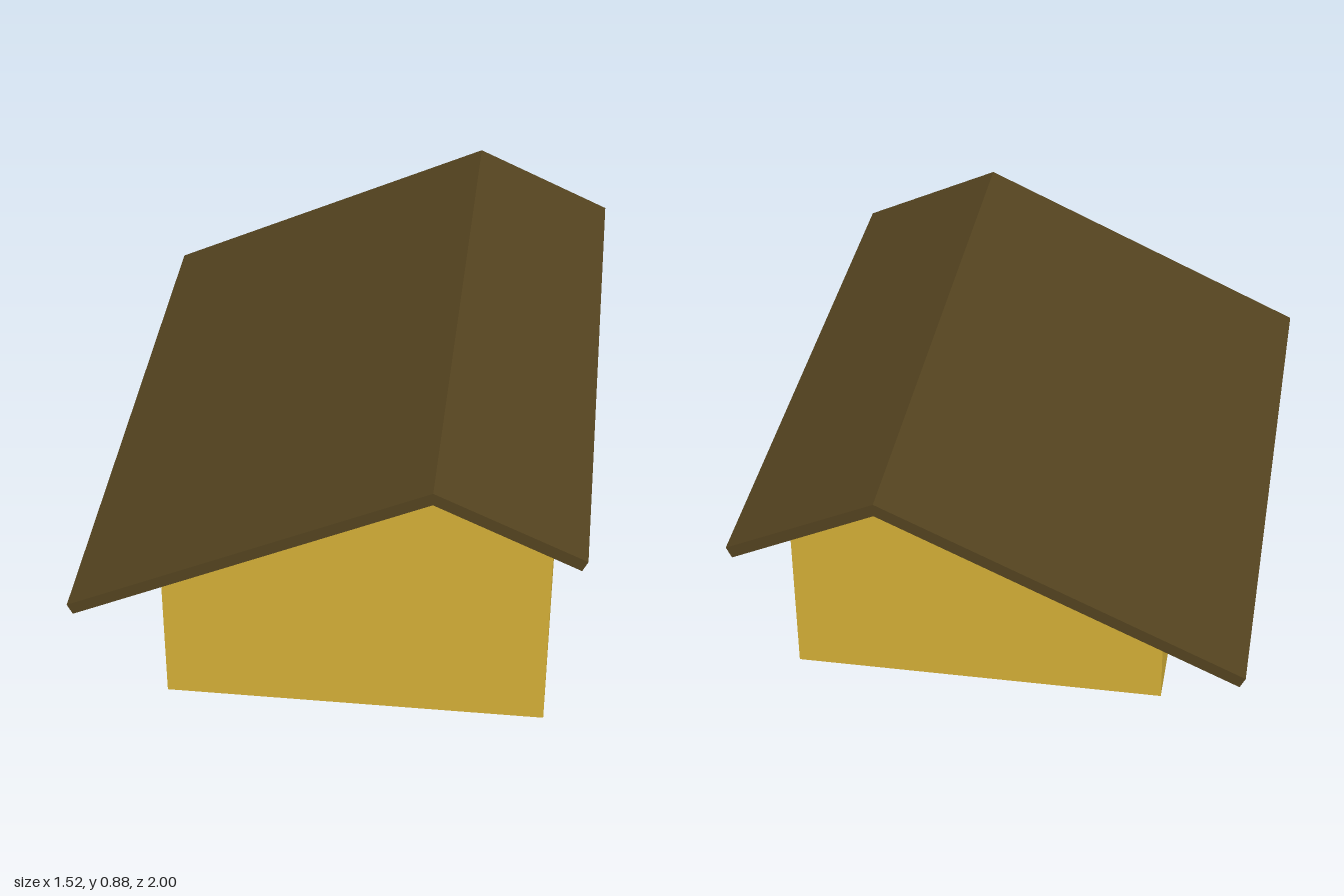
import * as THREE from 'three';

const X0 = -0.49, X1 = 0.66;          // side walls
const ZF = 0.92, ZB = -0.68;          // gable walls
const RIDGE = 0.317, PITCH = 0.463;   // ridge position and roof slope
const underside = (x) => 0.84 - Math.abs(x - RIDGE) * PITCH;

const paint = (color) =>
  new THREE.MeshStandardMaterial({ color, flatShading: true, side: THREE.DoubleSide });

function add(parent, name, geometry, material) {
  const mesh = new THREE.Mesh(geometry, material);
  mesh.name = name;
  parent.add(mesh);
  return mesh;
}

const polygon = (points) => new THREE.Shape(points.map(([x, y]) => new THREE.Vector2(x, y)));

export function createModel() {
  const model = new THREE.Group();
  model.name = 'house';
  const wallPaint = paint(0xd4af37);

  // Gable walls, front and back
  const gable = polygon([
    [X0, 0], [X1, 0], [X1, underside(X1)], [RIDGE, underside(RIDGE)], [X0, underside(X0)],
  ]);
  const front = add(model, 'frontGable', new THREE.ShapeGeometry(gable), wallPaint);
  front.position.z = ZF;
  const backGeometry = new THREE.ShapeGeometry(gable);
  backGeometry.index.array.reverse();   // face backwards
  backGeometry.computeVertexNormals();
  const back = add(model, 'backGable', backGeometry, wallPaint);
  back.position.z = ZB;

  // Side walls, up to the underside of the roof
  for (const [name, x, turn] of [['leftWall', X1, 1], ['rightWall', X0, -1]]) {
    const height = underside(x);
    const wall = add(model, name, new THREE.PlaneGeometry(ZF - ZB, height), wallPaint);
    wall.rotation.y = turn * Math.PI / 2;
    wall.position.set(x, height / 2, (ZF + ZB) / 2);
  }

  // Floor, facing down and rising slightly towards the low side
  const rise = 0.03, span = X1 - X0;
  const floorGeometry = new THREE.PlaneGeometry(Math.hypot(span, rise), ZF - ZB);
  floorGeometry.rotateX(Math.PI / 2);
  const floor = add(model, 'floor', floorGeometry, paint(0x222222));
  floor.rotation.z = -Math.atan2(rise, span);
  floor.position.set((X0 + X1) / 2, rise / 2, (ZF + ZB) / 2);

  // Roof with unequal slopes and square-cut eaves
  const profile = polygon([
    [-0.76, 0.378], [-0.744, 0.345], [RIDGE, 0.84], [0.744, 0.642], [0.76, 0.676], [RIDGE, 0.88],
  ]);
  const roofGeometry = new THREE.ExtrudeGeometry(profile, { depth: 2, bevelEnabled: false });
  roofGeometry.translate(0, 0, -1);
  add(model, 'roof', roofGeometry, paint(0x54431f));

  return model;
}
